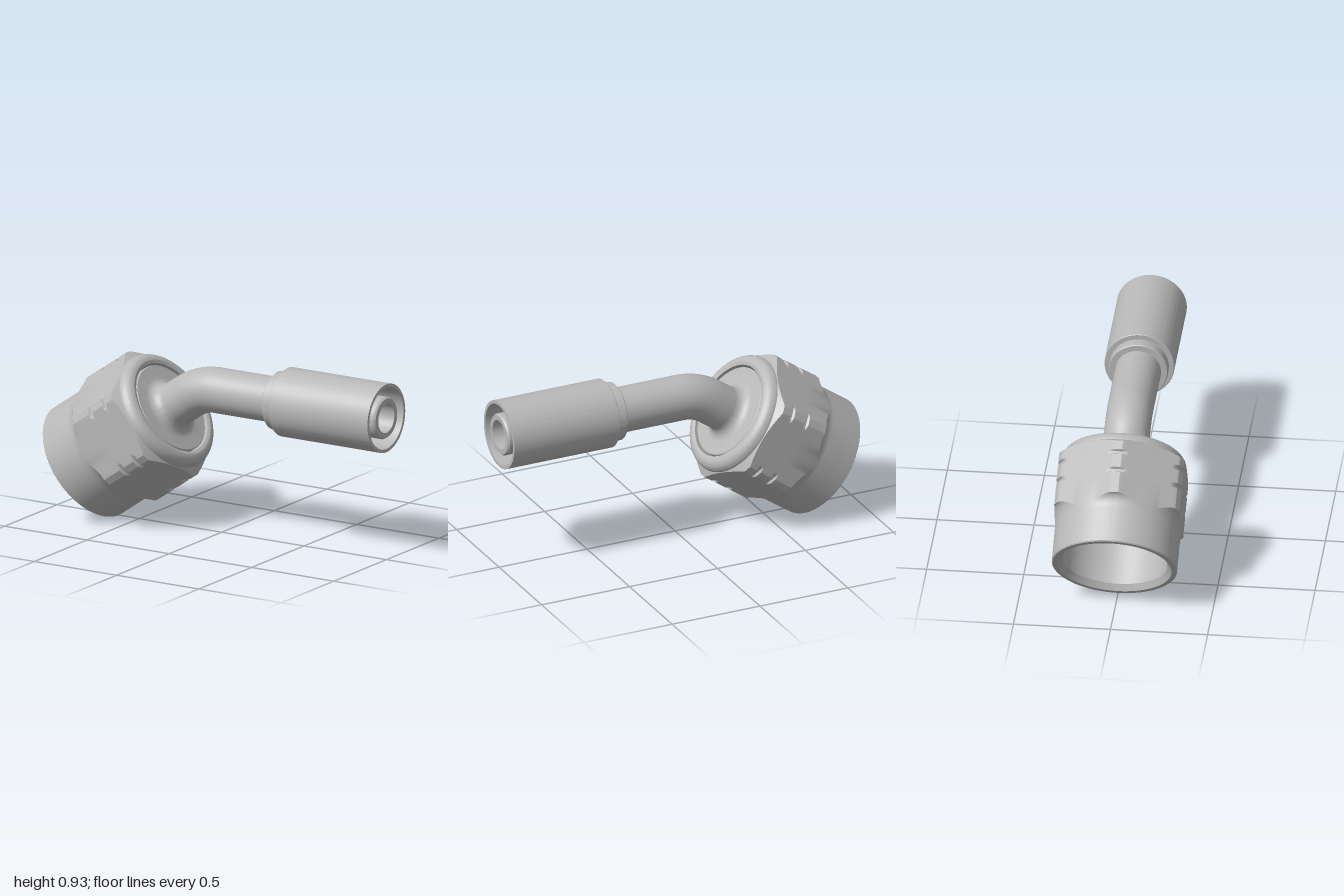
import * as THREE from 'three';
import { toCreasedNormals } from 'three/addons/utils/BufferGeometryUtils.js';

const ANGLE = THREE.MathUtils.degToRad(35); // tilt of the nut axis
const TUBE_Y = 0.754;
const NUT = new THREE.Vector3(-0.815, 0.265, 0); // centre of the open nut face
const AXIS = new THREE.Vector3(Math.cos(ANGLE), Math.sin(ANGLE), 0);
const CREASE = 0.38;

// Radius of a hexagon with slightly flattened corners at polar angle phi
function hexRadius(phi) {
  const step = Math.PI / 3;
  const fromCorner = phi - Math.round(phi / step) * step;
  const fromFlat = step / 2 - Math.abs(fromCorner);
  return Math.min(0.323 / Math.cos(fromFlat), 0.361 / Math.cos(fromCorner));
}

// Nut profile [radius, height] for a direction whose hexagon radius is h
function nutProfile(h) {
  const p = [[0.27, 0.5], [0.27, 0.03], [0.295, 0], [0.317, 0], [0.322, 0.005]];
  // concave run-out from the round skirt into the hexagon
  const tMax = Math.acos(1 - (h - 0.322) / 0.04);
  for (let i = 0; i <= 8; i++) {
    const t = tMax * i / 8;
    p.push([0.322 + 0.04 * (1 - Math.cos(t)), 0.19 + 0.07 * Math.sin(t)]);
  }
  // two marking grooves that only bite into the corners
  const g = Math.min(h, 0.349);
  for (const s of [0.388, 0.488]) {
    p.push([h, s - 0.014], [g, s - 0.007], [g, s + 0.007], [h, s + 0.014]);
  }
  // corner chamfer, rounded shoulder and lip
  p.push([h, 0.55 + (0.361 - h) * 0.58]);
  for (let i = 0; i <= 10; i++) {
    const t = Math.PI / 2 * i / 10;
    p.push([0.268 + 0.052 * Math.cos(t), 0.575 + 0.055 * Math.sin(t)]);
  }
  p.push([0.252, 0.625], [0.252, 0.5]);
  return p;
}

function nutGeometry() {
  const n = 240, pos = [], index = [];
  let rows = 0;
  for (let i = 0; i <= n; i++) {
    const phi = (i / n) * Math.PI * 2;
    const profile = nutProfile(hexRadius(phi));
    rows = profile.length;
    for (const [r, s] of profile) pos.push(r * Math.cos(phi), s, r * Math.sin(phi));
  }
  for (let i = 0; i < n; i++) {
    for (let j = 0; j < rows - 1; j++) {
      const a = i * rows + j, b = a + 1, c = a + rows, d = c + 1;
      index.push(a, b, c, b, d, c);
    }
  }
  const geo = new THREE.BufferGeometry();
  geo.setAttribute('position', new THREE.Float32BufferAttribute(pos, 3));
  geo.setIndex(index);
  return toCreasedNormals(geo, CREASE);
}

function lathe(points) {
  const geo = new THREE.LatheGeometry(points.map(([r, y]) => new THREE.Vector2(r, y)), 96);
  return toCreasedNormals(geo, CREASE);
}

// Centre line: out of the nut, round the bend, along x
function centreLine(fromS, toX) {
  const along = (s) => NUT.clone().addScaledVector(AXIS, s);
  const R = 0.3, T = R * Math.tan(ANGLE / 2), k = R * 4 / 3 * Math.tan(ANGLE / 4);
  const meet = (TUBE_Y - NUT.y) / AXIS.y;
  const corner = along(meet);
  const onX = (d) => new THREE.Vector3(corner.x + d, TUBE_Y, 0);
  const path = new THREE.CurvePath();
  path.add(new THREE.LineCurve3(along(fromS), along(meet - T)));
  path.add(new THREE.CubicBezierCurve3(along(meet - T), along(meet - T + k), onX(T - k), onX(T)));
  path.add(new THREE.LineCurve3(onX(T), new THREE.Vector3(toX, TUBE_Y, 0)));
  return path;
}

export function createModel() {
  const model = new THREE.Group();
  model.name = 'angledHoseFitting';
  const steel = new THREE.MeshStandardMaterial({ color: 0xb8b8b8, side: THREE.DoubleSide });
  steel.name = 'steel grey';

  const add = (parent, name, geometry) => {
    const mesh = new THREE.Mesh(geometry, steel);
    mesh.name = name;
    parent.add(mesh);
    return mesh;
  };

  // Swivel nut and the flanged stem inside it
  const swivel = new THREE.Group();
  swivel.name = 'swivelEnd';
  swivel.position.copy(NUT);
  swivel.rotation.z = ANGLE - Math.PI / 2;
  model.add(swivel);
  add(swivel, 'hexNut', nutGeometry());

  const stem = [[0.077, 0.3], [0.235, 0.3], [0.243, 0.308], [0.243, 0.615], [0.238, 0.62]];
  for (let i = 0; i <= 8; i++) {
    const t = Math.PI / 2 * i / 8;
    stem.push([0.173 - 0.055 * Math.sin(t), 0.675 - 0.055 * Math.cos(t)]);
  }
  add(swivel, 'flangedStem', lathe(stem));

  // Bent tube and its bore
  add(model, 'bentTube', new THREE.TubeGeometry(centreLine(0.6, 0.36), 80, 0.118, 64));
  add(model, 'tubeBore', new THREE.TubeGeometry(centreLine(0.3, 1), 100, 0.077, 48));

  // Crimp sleeve with collar, hose recess and inner nipple
  const sleeve = add(model, 'crimpSleeve', lathe([
    [0.117, 0.338], [0.148, 0.338], [0.152, 0.342], [0.152, 0.397],
    [0.177, 0.397], [0.18, 0.4], [0.18, 1], [0.163, 1], [0.156, 0.5],
    [0.11, 0.5], [0.11, 0.99], [0.103, 1], [0.077, 1],
  ]));
  sleeve.position.y = TUBE_Y;
  sleeve.rotation.z = -Math.PI / 2;

  return model;
}
